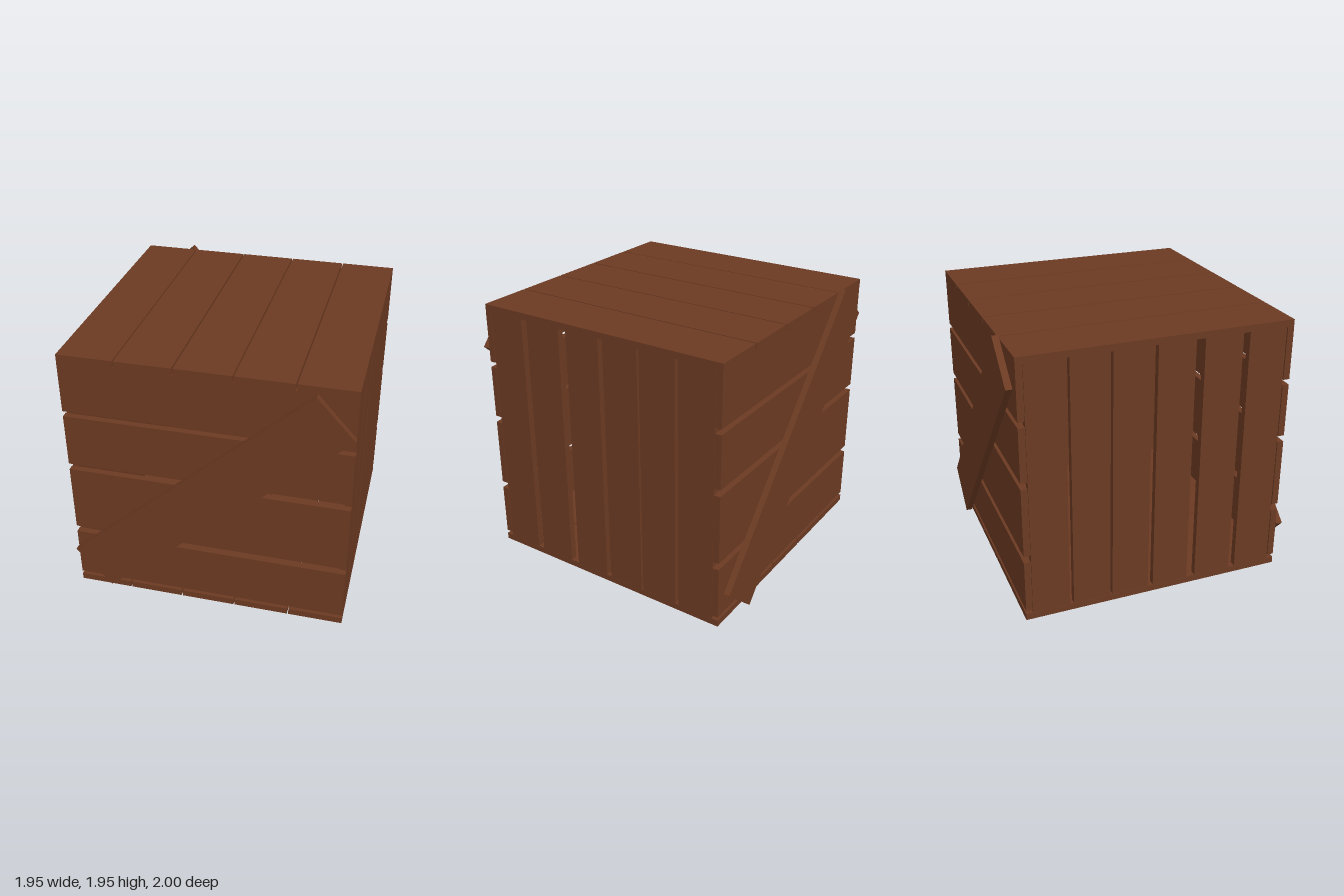
import * as THREE from 'three';

// Wooden crate: plank walls on all six sides plus a diagonal brace front and back
export function createModel() {
  const crate = new THREE.Group();
  crate.name = 'crate';
  const wood = new THREE.MeshStandardMaterial({ color: 0x6b3a22 });
  wood.name = 'brown wood';

  // Box plank given by its min/max range on each axis
  function plank(name, [x0, x1], [y0, y1], [z0, z1]) {
    const mesh = new THREE.Mesh(new THREE.BoxGeometry(x1 - x0, y1 - y0, z1 - z0), wood);
    mesh.position.set((x0 + x1) / 2, (y0 + y1) / 2, (z0 + z1) / 2);
    mesh.name = name;
    crate.add(mesh);
    return mesh;
  }

  // Lid and floor: five boards running front to back
  const boards = [[-0.975, -0.595], [-0.587, -0.206], [-0.196, 0.186], [0.195, 0.58], [0.59, 0.973]];
  for (const x of boards) {
    plank('topPlank', x, [1.89, 1.937], [-0.955, 0.945]);
    plank('bottomPlank', x, [0.033, 0.08], [-0.955, 0.945]);
  }

  // Front and back: four horizontal boards of varying height
  for (const y of [[0.108, 0.49], [0.54, 1.04], [1.088, 1.472], [1.512, 1.89]]) {
    plank('frontPlank', [-0.975, 0.973], y, [0.9, 0.946]);
    plank('backPlank', [-0.975, 0.973], y, [-0.954, -0.908]);
  }

  // Sides: six upright boards with uneven gaps
  const uprights = [[0.624, 0.895], [0.303, 0.576], [-0.024, 0.238],
    [-0.329, -0.062], [-0.613, -0.345], [-0.905, -0.64]];
  for (const z of uprights) {
    plank('leftPlank', [0.925, 0.972], [0.08, 1.89], z);
    plank('rightPlank', [-0.972, -0.925], [0.08, 1.89], z);
  }

  // Diagonal braces
  function brace(name, y, z, angle) {
    const mesh = plank(name, [-1.141, 1.141], [y - 0.19, y + 0.19], z);
    mesh.rotation.z = THREE.MathUtils.degToRad(angle);
  }
  brace('frontBrace', 0.987, [0.955, 1], 42.1);
  brace('backBrace', 0.98, [-1, -0.955], -48.2);

  return crate;
}
